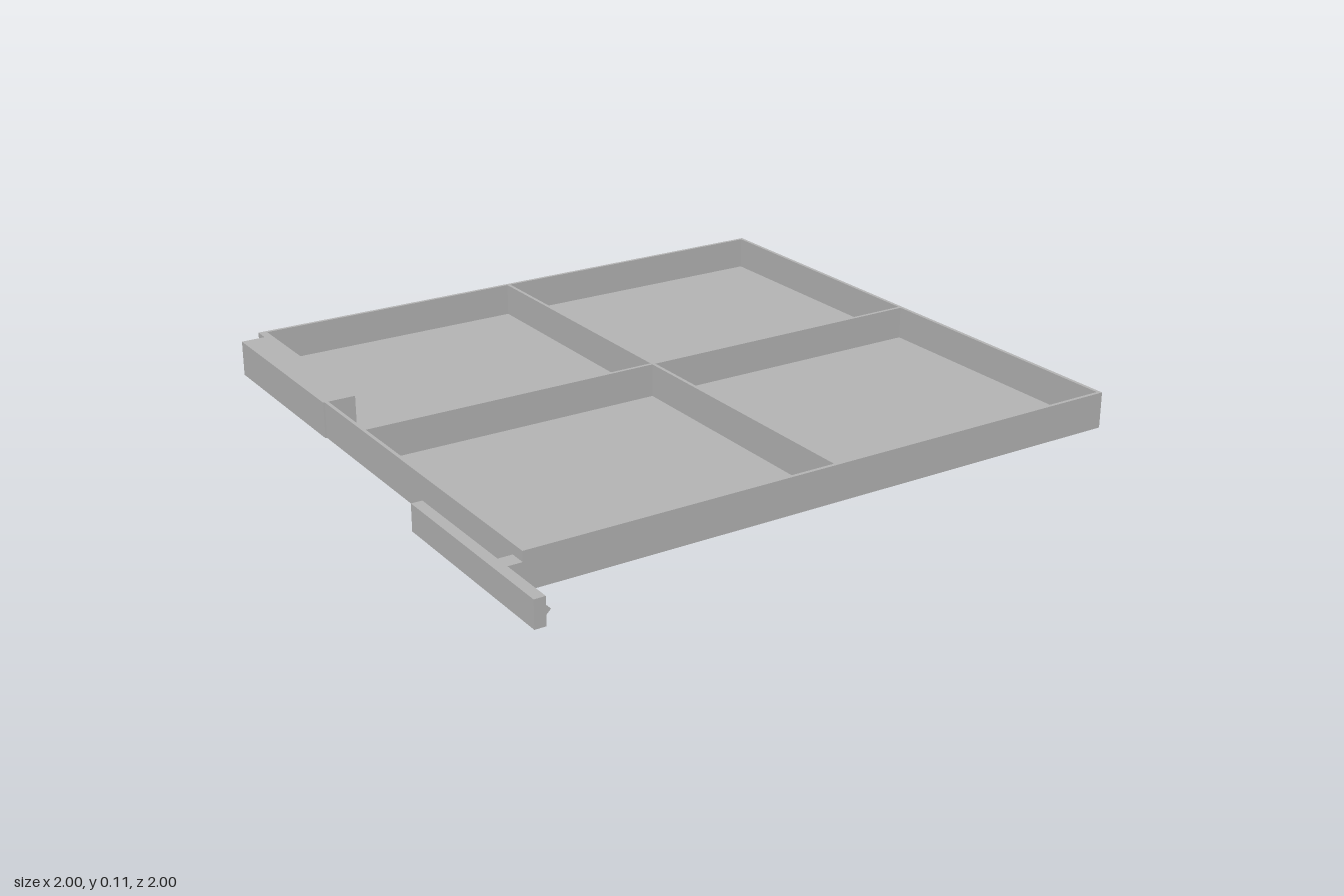
import * as THREE from 'three';

// Tray limits
const L = -0.925, R = 1.0, B = -1.0, F = 0.815, H = 0.11;
const T = 0.011, FLOOR = 0.008;

export function createModel() {
  const group = new THREE.Group();
  const grey = new THREE.MeshStandardMaterial({ color: 0xb4b4b4 });

  const add = (name, geometry) => {
    const mesh = new THREE.Mesh(geometry, grey);
    mesh.name = name;
    group.add(mesh);
    return mesh;
  };
  // Box given by its limits on each axis
  const box = (name, x0, x1, y0, y1, z0, z1) => {
    const g = new THREE.BoxGeometry(x1 - x0, y1 - y0, z1 - z0);
    g.translate((x0 + x1) / 2, (y0 + y1) / 2, (z0 + z1) / 2);
    return add(name, g);
  };
  // Cross-section in x and y, pulled from z0 to z1
  const bar = (name, points, z0, z1) => {
    const shape = new THREE.Shape(points.map(([x, y]) => new THREE.Vector2(x, y)));
    const g = new THREE.ExtrudeGeometry(shape, { depth: z1 - z0, bevelEnabled: false });
    g.translate(0, 0, z0);
    return add(name, g);
  };

  // Floor, cut away around the slot housing
  const outline = [[L, F], [R, F], [R, B], [-0.83, B], [-0.83, -0.34], [L, -0.34]];
  const floorShape = new THREE.Shape(outline.map(([x, z]) => new THREE.Vector2(x, -z)));
  const floor = new THREE.ExtrudeGeometry(floorShape, { depth: FLOOR, bevelEnabled: false });
  floor.rotateX(-Math.PI / 2);
  add('floor', floor);

  // Outer walls
  box('frontWall', L, R, 0, H, F - T, F);
  box('backWall', -0.855, R, 0, H, B, B + T);
  box('leftSideWall', R - T, R, 0, H, B, F);
  box('rightSideWall', L, L + T, 0, H, -0.34, F);

  // Crossing dividers
  box('longDivider', 0.03, 0.041, FLOOR, H, B + T, F - T);
  box('crossDivider', L + T, R - T, FLOOR, H, -0.1, -0.089);

  // Slot housing, open below and at the back, with a V groove inside
  bar('slotHousing', [
    [-0.93, 0], [-0.908, 0], [-0.908, 0.09], [-0.855, 0.09], [-0.855, 0.058],
    [-0.843, 0.044], [-0.855, 0.03], [-0.855, 0], [-0.83, 0], [-0.83, H], [-0.93, H],
  ], -0.95, -0.36);
  box('slotEnd', -0.93, -0.83, 0, H, -0.36, -0.34);
  box('slotLead', -0.855, -0.83, 0, H, B, -0.95);

  // Coupling rail with a V ridge, and the arm and corner block that hold it
  bar('couplingRail', [
    [-1, 0], [-0.967, 0], [-0.967, 0.03], [-0.954, 0.043],
    [-0.967, 0.056], [-0.967, 0.08], [-1, 0.08],
  ], 0.36, 1.0);
  box('railArm', -0.97, L + 0.005, 0, 0.08, 0.765, F);
  box('cornerBlock', L, -0.872, 0, H, 0.733, F);

  return group;
}
